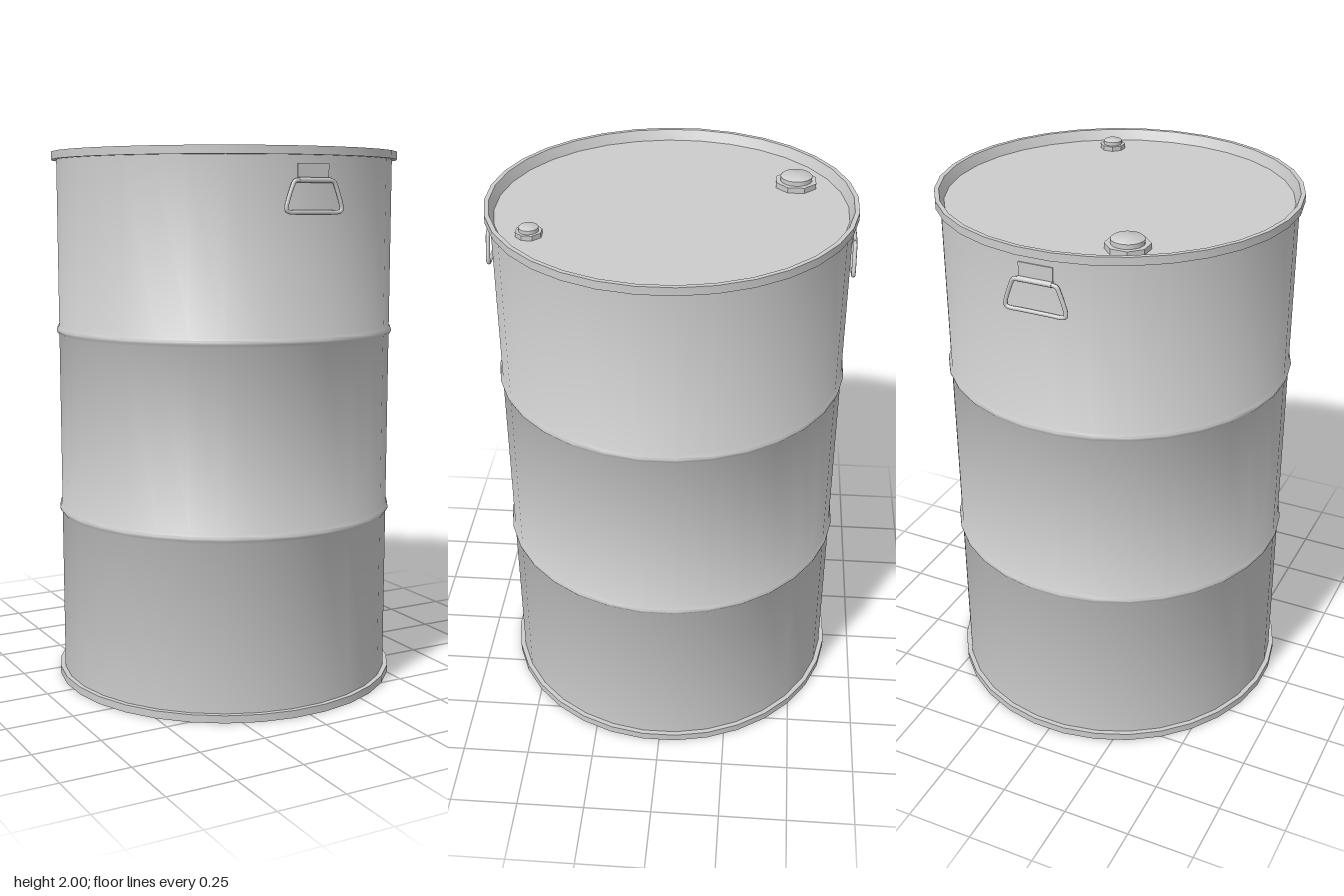
import * as THREE from 'three';
import { toCreasedNormals } from 'three/addons/utils/BufferGeometryUtils.js';

const SIDES = 32;

export function createModel() {
  const model = new THREE.Group();
  model.name = 'steelDrum';
  const steel = new THREE.MeshStandardMaterial({ color: 0xcccccc });
  steel.name = 'greySteel';

  function add(name, geometry, parent = model) {
    const mesh = new THREE.Mesh(geometry, steel);
    mesh.name = name;
    parent.add(mesh);
    return mesh;
  }

  // Revolve [radius, y] points; a half-step turn puts flats on the main axes
  function turned(points, sides = SIDES) {
    const profile = points.map(([r, y]) => new THREE.Vector2(r, y));
    const lathe = new THREE.LatheGeometry(profile, sides, Math.PI / sides);
    return toCreasedNormals(lathe, 0.75);
  }

  // Shell with two rolled ribs
  const rib = (y) => [[0.63, y - 0.018], [0.637, y - 0.008], [0.639, y], [0.637, y + 0.008], [0.63, y + 0.018]];
  add('body', turned([[0.63, 0.02], ...rib(0.66), ...rib(1.34), [0.63, 1.98]]));

  // Base, rims and sunken lid
  add('base', turned([[0, 0], [0.648, 0], [0.648, 0.028], [0.629, 0.028]]));
  add('topRim', turned([[0.629, 1.968], [0.648, 1.968], [0.648, 1.997], [0.632, 1.997], [0.616, 1.96]]));
  add('lid', turned([[0.616, 1.96], [0, 1.96]]));

  // Bungs: octagonal flange with a round plug
  function bung(name, x, z, flangeRadius, plugRadius, top) {
    const group = new THREE.Group();
    group.name = name;
    group.position.set(x, 1.96, z);
    const step = top * 0.5;
    add('flange', turned([[flangeRadius, 0], [flangeRadius, step], [plugRadius, step]], 8), group);
    add('plug', turned([[plugRadius, step], [plugRadius, top - 0.004], [plugRadius - 0.005, top], [0, top]], 20), group);
    model.add(group);
  }
  bung('largeBung', -0.23, -0.43, 0.077, 0.057, 0.04);
  bung('smallBung', 0.245, 0.46, 0.047, 0.034, 0.034);

  // Wire handle path with rounded corners
  const half = [[0.05, 1.777], [0.095, 1.777], [0.107, 1.781], [0.11, 1.792], [0.085, 1.868], [0.079, 1.879], [0.068, 1.883], [0.04, 1.883]];
  const loop = [...half, ...half.map(([x, y]) => [-x, y]).reverse()];
  const path = new THREE.CatmullRomCurve3(loop.map(([x, y]) => new THREE.Vector3(x, y, 0.637)), true);

  // Front and back drop handles
  for (const [name, turn] of [['frontHandle', 0], ['backHandle', Math.PI]]) {
    const handle = new THREE.Group();
    handle.name = name;
    handle.rotation.y = turn;
    add('wireLoop', new THREE.TubeGeometry(path, 96, 0.0075, 8, true), handle);
    add('mountingPlate', new THREE.BoxGeometry(0.124, 0.05, 0.008), handle).position.set(0, 1.915, 0.627);
    const sleeve = add('sleeve', new THREE.CylinderGeometry(0.0095, 0.0095, 0.124, 10), handle);
    sleeve.rotation.z = Math.PI / 2;
    sleeve.position.set(0, 1.884, 0.636);
    model.add(handle);
  }
  return model;
}
